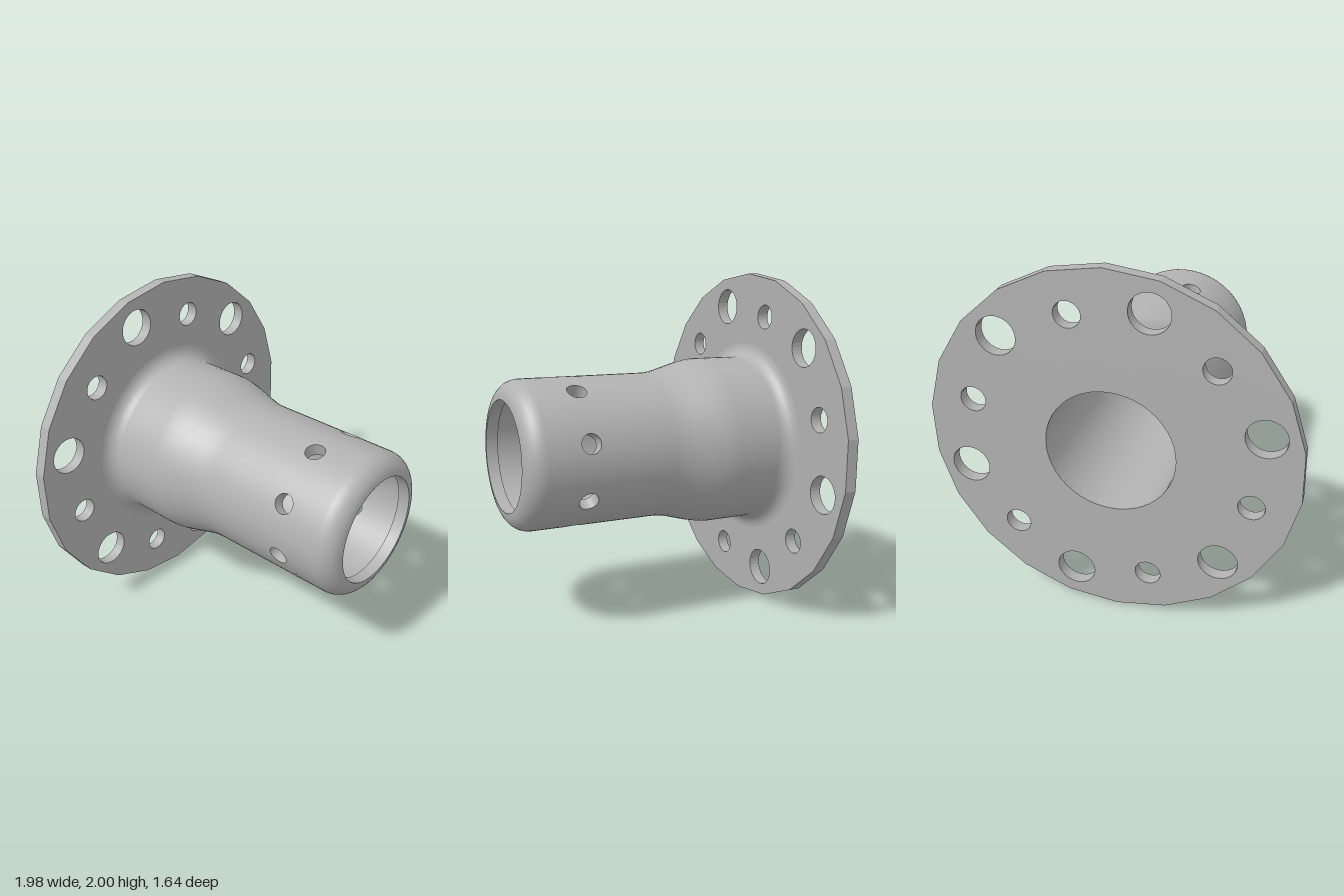
import * as THREE from 'three';
import { mergeGeometries } from 'three/addons/utils/BufferGeometryUtils.js';

const SEG = 48, OUTER = 0.425, BORE = 0.35, LIP = 0.315;
const PLATE_BACK = -0.82, PLATE_FRONT = -0.752, FRONT = 0.82;
const BAND_BACK = 0.36, BAND_FRONT = 0.57, HOLE_Z = 0.465, HOLE_R = 0.056;
const rad = THREE.MathUtils.degToRad;

// Regular polygon or circle outline
function ring(cx, cy, r, n, start = 0) {
  return Array.from({ length: n }, (_, i) => {
    const a = start + (i / n) * Math.PI * 2;
    return new THREE.Vector2(cx + r * Math.cos(a), cy + r * Math.sin(a));
  });
}

// Surface of revolution about z from [radius, z] pairs; z rising faces outward
function turned(profile) {
  return new THREE.LatheGeometry(profile.map(([r, z]) => new THREE.Vector2(r, z)), SEG).rotateX(Math.PI / 2);
}

// Grid of quads from a point function
function grid(nu, nv, point, flip) {
  const pos = [], index = [];
  for (let v = 0; v <= nv; v++) for (let u = 0; u <= nu; u++) pos.push(...point(u, v));
  for (let v = 0; v < nv; v++) for (let u = 0; u < nu; u++) {
    const a = v * (nu + 1) + u, b = a + 1, c = a + nu + 1, d = c + 1;
    index.push(...(flip ? [a, c, b, b, c, d] : [a, b, c, b, d, c]));
  }
  const g = new THREE.BufferGeometry();
  g.setAttribute('position', new THREE.Float32BufferAttribute(pos, 3));
  g.setIndex(index);
  g.computeVertexNormals();
  return g;
}

// Point on the drill hole edge (24 steps) at a shell radius, as [angle, z]
function holeEdge(i, r) {
  const a = rad(-135 + 15 * i);
  return [Math.asin((HOLE_R * Math.cos(a)) / r), HOLE_Z + HOLE_R * Math.sin(a)];
}

// Point on the rectangular border of a 45 degree patch
function border(i) {
  const f = (i % 6) / 3 - 1;
  const [x, y] = [[f, -1], [1, f], [-f, 1], [-1, -f]][Math.floor(i / 6) % 4];
  return [x * Math.PI / 8, (BAND_BACK + BAND_FRONT) / 2 + y * (BAND_FRONT - BAND_BACK) / 2];
}

// Curved patch around one drill hole
function patch(mid, r, inward) {
  const g = grid(24, 4, (u, v) => {
    const h = holeEdge(u, r), b = border(u), s = v / 4;
    const t = mid + h[0] + (b[0] - h[0]) * s;
    return [r * Math.cos(t), r * Math.sin(t), h[1] + (b[1] - h[1]) * s];
  }, !inward);
  const p = g.attributes.position, k = inward ? -1 / r : 1 / r;
  for (let i = 0; i < p.count; i++) g.attributes.normal.setXYZ(i, p.getX(i) * k, p.getY(i) * k, 0);
  return g;
}

// Wall of one drill hole, from bore to outer skin
function holeWall(mid) {
  return grid(24, 1, (u, v) => {
    const r = v ? OUTER : BORE, [t, z] = holeEdge(u, r);
    return [r * Math.cos(mid + t), r * Math.sin(mid + t), z];
  }, true);
}

export function createModel() {
  const group = new THREE.Group();
  const grey = new THREE.MeshStandardMaterial({ color: 0xb2b2b2 });
  grey.name = 'greyMetal';
  const add = (name, geometry) => {
    const mesh = new THREE.Mesh(geometry, grey);
    mesh.name = name;
    mesh.position.y = 1;
    group.add(mesh);
  };

  // Flange plate with alternating large and small bolt holes
  const plate = new THREE.Shape(ring(0, 0, 1, 22, rad(89)));
  const cut = (pts) => plate.holes.push(new THREE.Path(pts));
  cut(ring(0, 0, BORE, SEG));
  for (let k = 0; k < 6; k++) {
    const a = rad(45 + 60 * k), b = rad(75 + 60 * k);
    cut(ring(0.825 * Math.cos(a), 0.825 * Math.sin(a), 0.107, 32));
    cut(ring(0.77 * Math.cos(b), 0.77 * Math.sin(b), 0.071, 32));
  }
  const plateGeo = new THREE.ExtrudeGeometry(plate, { depth: PLATE_FRONT - PLATE_BACK, bevelEnabled: false });
  add('flangePlate', plateGeo.translate(0, 0, PLATE_BACK));

  // Outer skin: root fillet, wide collar, smooth neck, straight tube
  const body = [];
  for (let i = 0; i <= 6; i++) {
    const a = (i / 6) * Math.PI / 2;
    body.push([0.577 - 0.08 * Math.sin(a), PLATE_FRONT + 0.08 * (1 - Math.cos(a))]);
  }
  for (let i = 0; i <= 12; i++) {
    const t = i / 12, s = t * t * (3 - 2 * t);
    body.push([0.497 + (OUTER - 0.497) * s, -0.42 + 0.38 * t]);
  }
  body.push([OUTER, 0.1], [OUTER, BAND_BACK]);
  add('tubeBody', turned(body));

  // Band pierced by eight radial holes
  const parts = [];
  for (let k = 0; k < 8; k++) {
    const mid = rad(15 + 45 * k);
    parts.push(patch(mid, OUTER, false), patch(mid, BORE, true), holeWall(mid));
  }
  add('drilledBand', mergeGeometries(parts));

  // Rounded nose
  const nose = [[OUTER, BAND_FRONT]];
  for (let i = 0; i <= 8; i++) {
    const a = (i / 8) * Math.PI / 2;
    nose.push([LIP + 0.11 * Math.cos(a), FRONT - 0.11 + 0.11 * Math.sin(a)]);
  }
  add('roundedNose', turned(nose));

  // Inner lip and its rear step
  add('lipWall', turned([[LIP, FRONT], [LIP, 0.75]]));
  add('lipStep', turned([[LIP, 0.75], [BORE, 0.75]]));

  // Bore on both sides of the drilled band
  add('boreFront', turned([[BORE, 0.75], [BORE, BAND_FRONT]]));
  add('boreBack', turned([[BORE, BAND_BACK], [BORE, PLATE_FRONT]]));

  return group;
}
